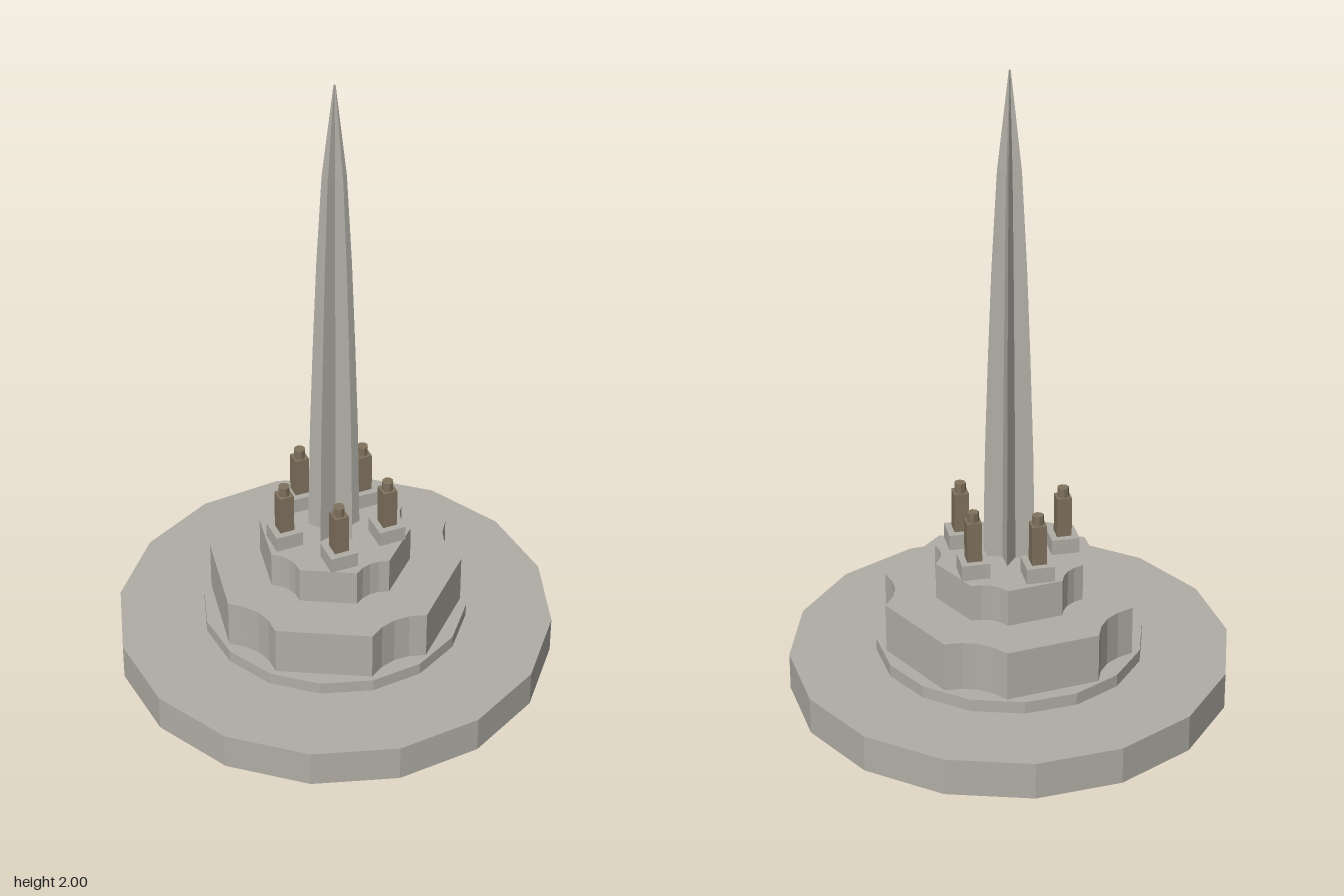
import * as THREE from 'three';

const stone = new THREE.MeshStandardMaterial({ color: 0xb0ada5, flatShading: true, side: THREE.DoubleSide });
const bronze = new THREE.MeshStandardMaterial({ color: 0x7f715d, flatShading: true });
const rad = THREE.MathUtils.degToRad;
const polar = (r, deg) => new THREE.Vector2(r * Math.cos(rad(deg)), r * Math.sin(rad(deg)));

function add(parent, name, geometry, material, y = 0) {
  const mesh = new THREE.Mesh(geometry, material);
  mesh.name = name;
  mesh.position.y = y;
  parent.add(mesh);
  return mesh;
}

// Sixteen-sided slab with a top and walls, hollow and open underneath
function openSlab(name, radius, height, y) {
  const slab = new THREE.Group();
  slab.name = name;
  slab.position.y = y;
  const turn = rad(-6.1);
  const wall = new THREE.CylinderGeometry(radius, radius, height, 16, 1, true);
  const top = new THREE.CircleGeometry(radius, 16).rotateX(-Math.PI / 2);
  // the plan is very slightly narrower from front to back
  add(slab, 'wall', wall.rotateY(turn).scale(1, 1, 0.994), stone, height / 2);
  add(slab, 'top', top.rotateY(turn).scale(1, 1, 0.994), stone, height);
  return slab;
}

// Tier with five straight sides joined by shallow concave notches
function notchedTier(radius, depth, height) {
  const points = [];
  for (let k = 0; k < 5; k++) {
    const centre = 9.8 + 72 * k;
    const a = polar(radius, centre - 14.2);
    const b = polar(radius, centre + 14.2);
    const inward = polar(1, centre);
    for (let i = 0; i <= 4; i++) {
      const t = i / 4;
      points.push(a.clone().lerp(b, t).addScaledVector(inward, -depth * 4 * t * (1 - t)));
    }
  }
  const geometry = new THREE.ExtrudeGeometry(new THREE.Shape(points), { depth: height, bevelEnabled: false });
  return geometry.rotateX(Math.PI / 2).translate(0, height, 0);
}

// Five-pointed star section, tapering in a gentle curve to a fine tip
function spireGeometry() {
  const profile = [[0.44, 0.084], [0.8, 0.077], [1.1, 0.067], [1.4, 0.055], [1.7, 0.038], [2, 0.003]];
  const positions = [];
  const index = [];
  profile.forEach(([y, r], i) => {
    for (let j = 0; j < 10; j++) {
      const p = polar(j % 2 ? r * 0.4 : r, 36 * j);
      positions.push(p.x, y, p.y);
      if (i === profile.length - 1) continue;
      const a = i * 10 + j;
      const b = i * 10 + ((j + 1) % 10);
      index.push(a, a + 10, b, b, a + 10, b + 10);
    }
  });
  const geometry = new THREE.BufferGeometry();
  geometry.setAttribute('position', new THREE.Float32BufferAttribute(positions, 3));
  geometry.setIndex(index);
  const flat = geometry.toNonIndexed();
  flat.computeVertexNormals();
  return flat;
}

export function createModel() {
  const model = new THREE.Group();
  model.name = 'monument';

  // Stepped plinth
  model.add(openSlab('basePlatform', 0.69, 0.12, 0));
  model.add(openSlab('lowStep', 0.418, 0.04, 0.12));
  add(model, 'lowerTier', notchedTier(0.398, 0.03, 0.16), stone, 0.16);
  add(model, 'upperTier', notchedTier(0.237, 0.018, 0.12), stone, 0.32);

  add(model, 'spire', spireGeometry(), stone);

  // Ring of five statues on square pedestals
  for (let k = 0; k < 5; k++) {
    const statue = new THREE.Group();
    statue.name = 'statue';
    const p = polar(0.167, 180 + 72 * k);
    statue.position.set(p.x, 0.44, p.y);
    add(statue, 'pedestal', new THREE.BoxGeometry(0.087, 0.05, 0.087), stone, 0.025);
    add(statue, 'body', new THREE.BoxGeometry(0.046, 0.13, 0.046), bronze, 0.115);
    add(statue, 'head', new THREE.CylinderGeometry(0.018, 0.018, 0.03, 8), bronze, 0.195);
    model.add(statue);
  }
  return model;
}
